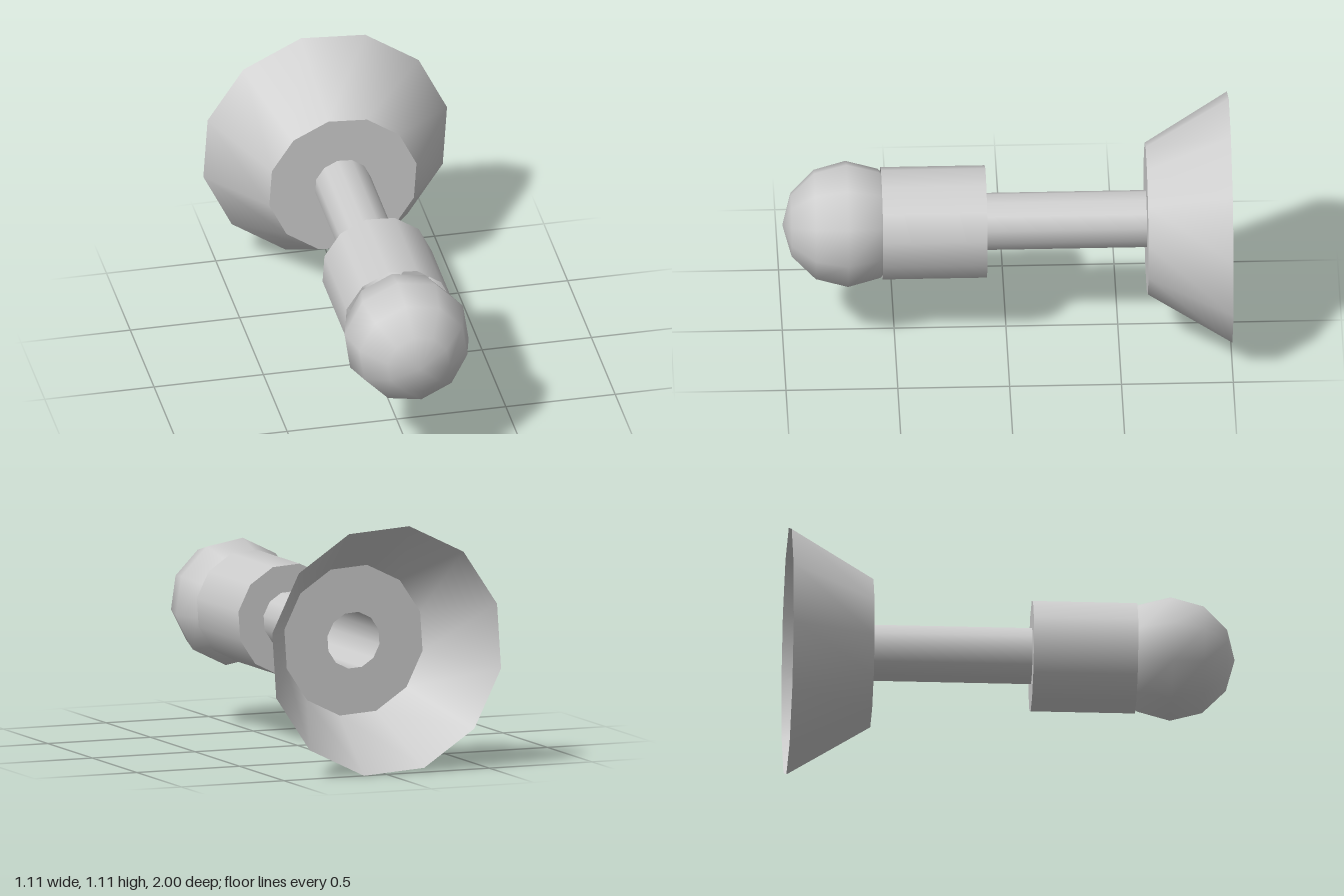
import * as THREE from 'three';

const SIDES = 12;
const TWIST = THREE.MathUtils.degToRad(11.2); // roll of the twelve-sided parts about the long axis
const AXIS_Y = 0.557;
const BALL_R = 0.288;

export function createModel() {
  const model = new THREE.Group();
  model.name = 'suctionKnob';
  const grey = new THREE.MeshStandardMaterial({ color: 0xcccccc, side: THREE.DoubleSide });
  grey.name = 'light grey';

  const add = (name, geometry, z) => {
    const mesh = new THREE.Mesh(geometry, grey);
    mesh.name = name;
    mesh.position.set(0, AXIS_Y, z);
    model.add(mesh);
  };

  // Open wall lying along z, from the back radius to the front radius
  const wall = (name, backR, frontR, z0, z1) => {
    const g = new THREE.CylinderGeometry(frontR, backR, z1 - z0, SIDES, 1, true);
    g.rotateX(Math.PI / 2).rotateZ(TWIST);
    add(name, g, (z0 + z1) / 2);
  };

  // Flat ring joining two walls
  const ring = (name, inner, outer, z, facing) => {
    const g = new THREE.RingGeometry(inner, outer, SIDES, 1, TWIST);
    if (facing < 0) g.rotateY(Math.PI).rotateZ(2 * TWIST);
    add(name, g, z);
  };

  // Hollow cup with an open back
  wall('cupWall', 0.568, 0.343, -1, -0.627);
  ring('cupFace', 0.129, 0.343, -0.627, 1);

  // Hollow shaft
  wall('shaft', 0.129, 0.129, -0.627, 0.09);

  // Collar around the ball's base
  ring('collarBack', 0.129, 0.254, 0.09, -1);
  wall('collarWall', 0.254, 0.254, 0.09, 0.557);

  // Ball with its pole pointing forward
  const ball = new THREE.SphereGeometry(BALL_R, 10, 6);
  ball.rotateX(Math.PI / 2).rotateZ(THREE.MathUtils.degToRad(26.3));
  add('ball', ball, 1 - BALL_R);

  return model;
}
